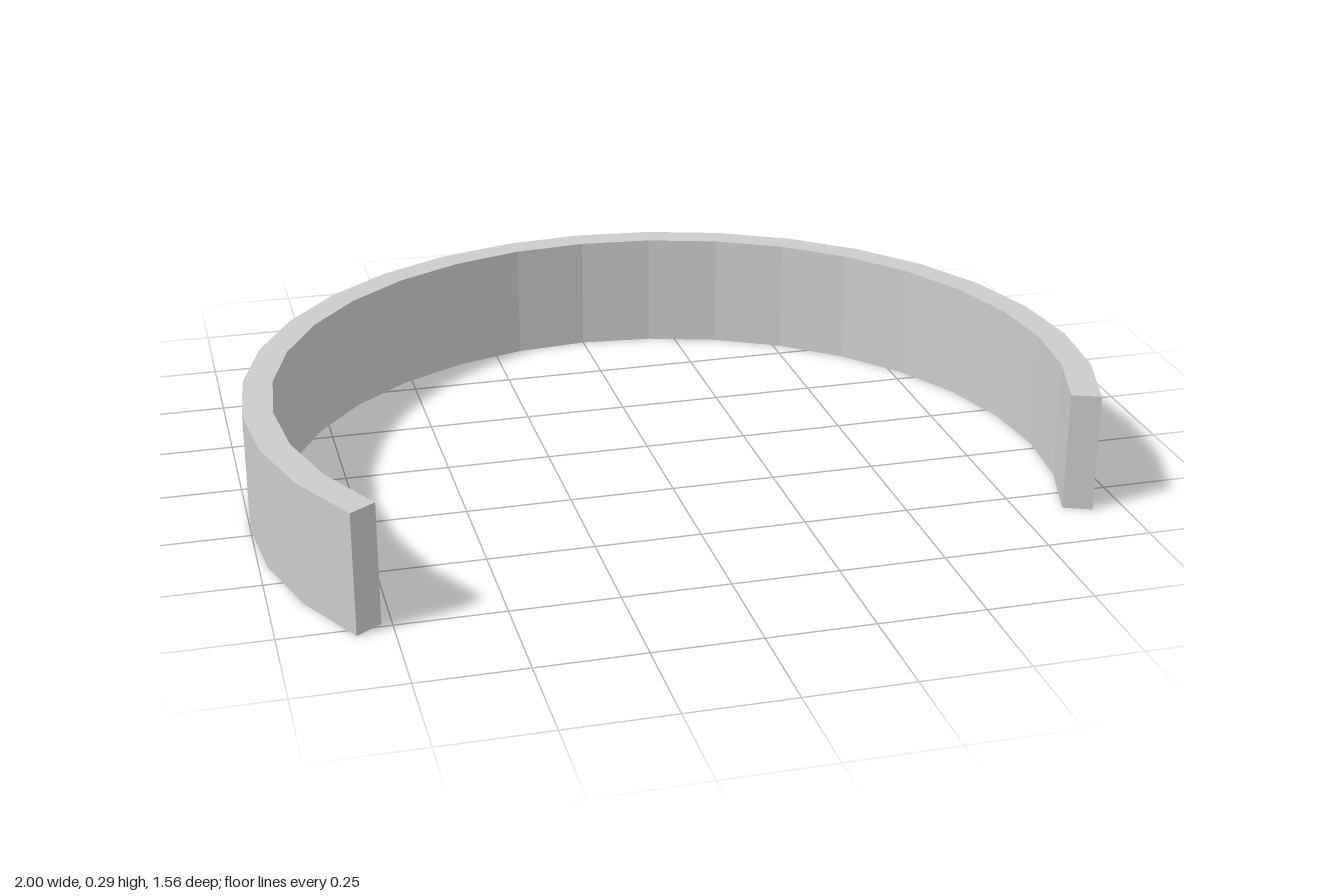
import * as THREE from 'three';

const OUTER = 1, INNER = 0.93, HEIGHT = 0.288;
const STEP = Math.PI / 16; // 32-sided ring
const FIRST = -11, LAST = 10; // steps from the back: right end, left end
const CENTRE_Z = 0.222;

// Point on the ring in plan, with the back of the ring towards +y
const ringPoint = (radius, i) => new THREE.Vector2(
  radius * Math.sin(i * STEP),
  radius * Math.cos(i * STEP)
);

export function createModel() {
  const group = new THREE.Group();
  group.name = 'openRing';

  // Outline: along the outer edge, then back along the inner edge
  const outline = [];
  for (let i = FIRST; i <= LAST; i++) outline.push(ringPoint(OUTER, i));
  for (let i = LAST; i >= FIRST; i--) outline.push(ringPoint(INNER, i));

  // Faceted band, laid flat with its gap towards the front
  const geometry = new THREE.ExtrudeGeometry(new THREE.Shape(outline), {
    depth: HEIGHT,
    bevelEnabled: false
  });
  geometry.rotateX(-Math.PI / 2);
  geometry.translate(0, 0, CENTRE_Z);

  const band = new THREE.Mesh(
    geometry,
    new THREE.MeshStandardMaterial({ color: 0xcccccc, flatShading: true })
  );
  band.name = 'band';
  group.add(band);
  return group;
}
